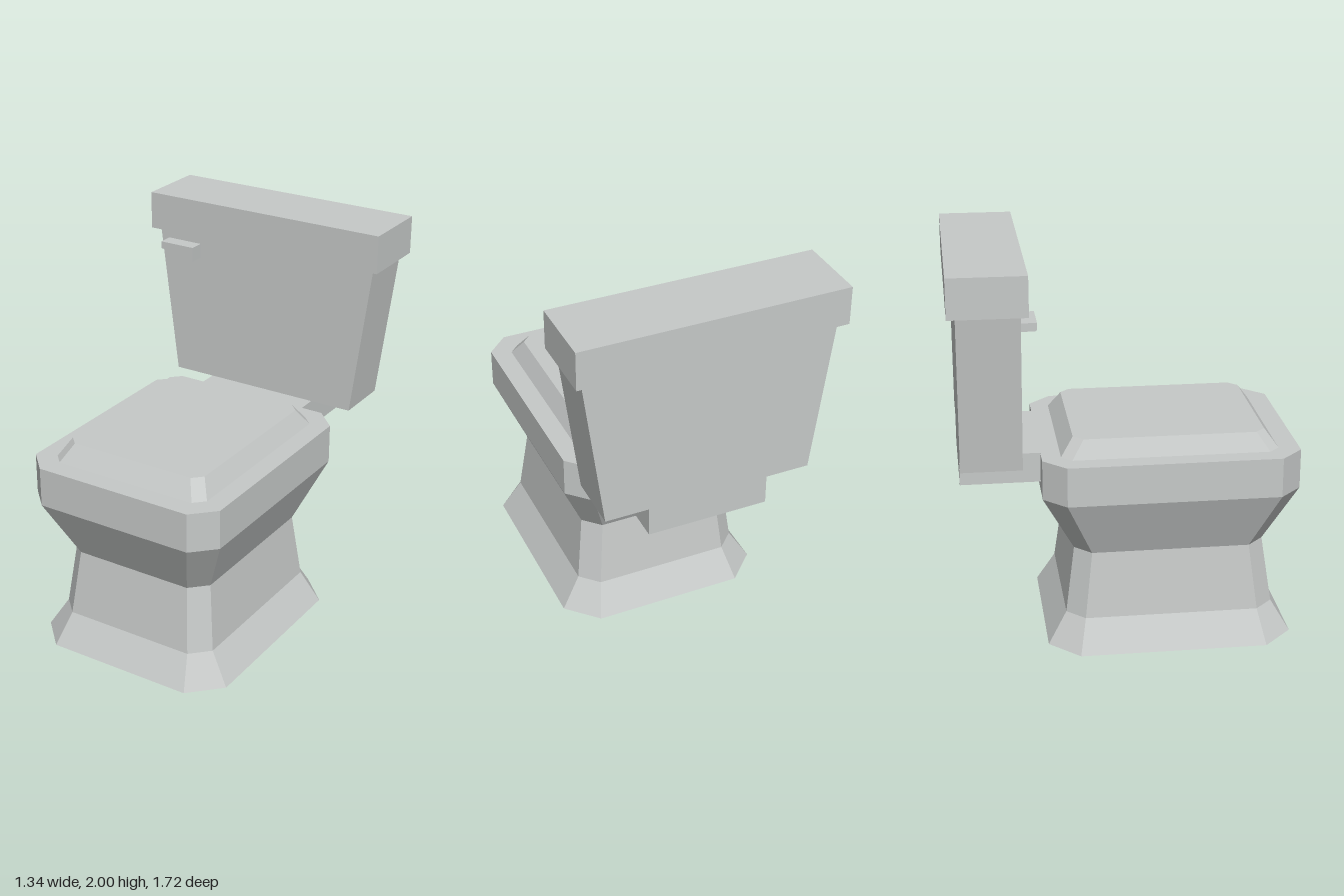
import * as THREE from 'three';

const ceramic = new THREE.MeshStandardMaterial({ color: 0xc6c9c8, flatShading: true });
ceramic.name = 'grey ceramic';

// Rectangle with cut corners at height y, counter-clockwise seen from above
function ring({ y, hx, back, front, cut }) {
  return [
    [hx - cut, y, front], [hx, y, front - cut],
    [hx, y, back + cut], [hx - cut, y, back],
    [-hx + cut, y, back], [-hx, y, back + cut],
    [-hx, y, front - cut], [-hx + cut, y, front],
  ];
}

// Closed solid through a stack of rings, lowest first
function loft(sections) {
  const rings = sections.map(ring);
  const n = rings[0].length;
  const pos = [];
  const tri = (a, b, c) => pos.push(...a, ...b, ...c);
  for (let r = 0; r < rings.length - 1; r++) {
    const lo = rings[r], hi = rings[r + 1];
    for (let i = 0; i < n; i++) {
      const j = (i + 1) % n;
      tri(lo[i], lo[j], hi[j]);
      tri(lo[i], hi[j], hi[i]);
    }
  }
  const bottom = rings[0], top = rings[rings.length - 1];
  for (let i = 1; i < n - 1; i++) {
    tri(bottom[0], bottom[i + 1], bottom[i]);
    tri(top[0], top[i], top[i + 1]);
  }
  const geo = new THREE.BufferGeometry();
  geo.setAttribute('position', new THREE.Float32BufferAttribute(pos, 3));
  geo.computeVertexNormals();
  return geo;
}

// Front outline in x and y, extruded between two z planes
function slab(points, back, front) {
  const shape = new THREE.Shape(points.map(([x, y]) => new THREE.Vector2(x, y)));
  return new THREE.ExtrudeGeometry(shape, { depth: front - back, bevelEnabled: false }).translate(0, 0, back);
}

function box(hx, y0, y1, back, front) {
  return new THREE.BoxGeometry(2 * hx, y1 - y0, front - back)
    .translate(0, (y0 + y1) / 2, (back + front) / 2);
}

export function createModel() {
  const model = new THREE.Group();
  model.name = 'toilet';
  const add = (name, geometry) => {
    const mesh = new THREE.Mesh(geometry, ceramic);
    mesh.name = name;
    model.add(mesh);
  };

  // Flared foot, waist and bowl
  add('bowl', loft([
    { y: 0, hx: 0.54, back: -0.4, front: 0.845, cut: 0.15 },
    { y: 0.16, hx: 0.44, back: -0.305, front: 0.75, cut: 0.09 },
    { y: 0.5, hx: 0.4, back: -0.26, front: 0.7, cut: 0.083 },
    { y: 0.81, hx: 0.535, back: -0.42, front: 0.86, cut: 0.112 },
    { y: 1.012, hx: 0.535, back: -0.42, front: 0.86, cut: 0.112 },
  ]));

  // Bevelled seat cover
  add('seatCover', loft([
    { y: 1.012, hx: 0.435, back: -0.325, front: 0.755, cut: 0.052 },
    { y: 1.1, hx: 0.383, back: -0.262, front: 0.69, cut: 0.048 },
  ]));

  // Bridge between bowl and tank
  add('tankBridge', box(0.308, 0.86, 1.012, -0.818, -0.42));

  // Tank widening upwards, with its lid
  add('tank', slab([[-0.53, 1.012], [0.53, 1.012], [0.633, 1.805], [-0.633, 1.805]], -0.818, -0.52));
  add('tankLid', box(0.67, 1.805, 2, -0.858, -0.485));

  // Flush lever
  add('flushLever', slab([
    [-0.582, 1.755], [-0.582, 1.718], [-0.46, 1.695],
    [-0.46, 1.678], [-0.385, 1.678], [-0.385, 1.755],
  ], -0.52, -0.443));

  return model;
}
